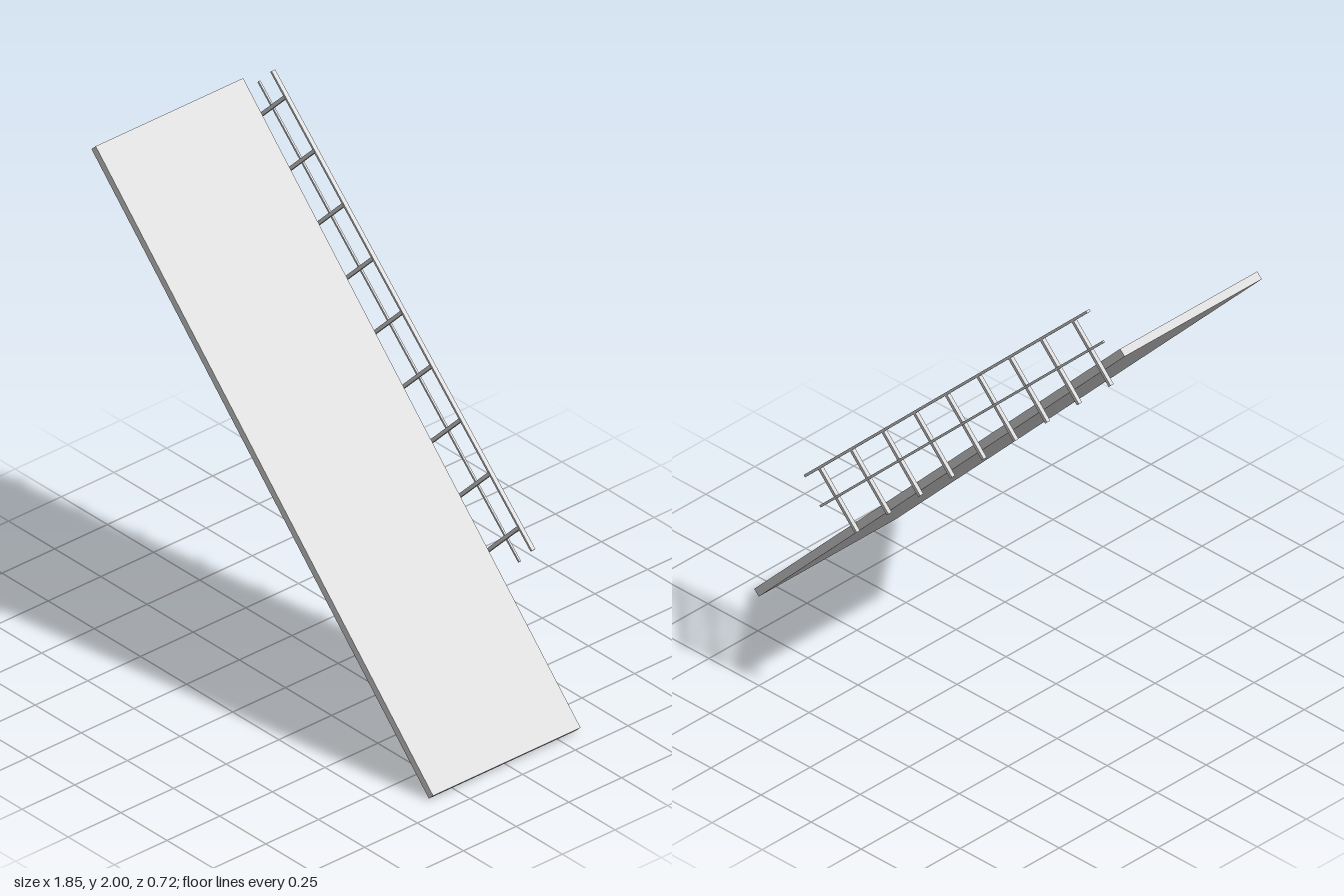
import * as THREE from 'three';

const material = new THREE.MeshStandardMaterial({ color: 0xcccccc, flatShading: true });

// Square bar between two points in the x-y plane, spanning zBack..zFront
function bar(name, [x1, y1], [x2, y2], thickness, zBack, zFront) {
  const length = Math.hypot(x2 - x1, y2 - y1);
  const mesh = new THREE.Mesh(new THREE.BoxGeometry(length, thickness, zFront - zBack), material);
  mesh.position.set((x1 + x2) / 2, (y1 + y2) / 2, (zBack + zFront) / 2);
  mesh.rotation.z = Math.atan2(y2 - y1, x2 - x1);
  mesh.name = name;
  return mesh;
}

export function createModel() {
  const model = new THREE.Group();
  model.name = 'rampWithRailing';

  // Sloping deck
  model.add(bar('deck', [-0.914, 1.888], [0.914, 0.012], 0.032, -0.34, 0.36));

  // Railing along the back edge
  const railing = new THREE.Group();
  railing.name = 'railing';
  railing.add(bar('topRail', [-0.753, 1.996], [0.657, 0.639], 0.01, -0.358, -0.341));
  railing.add(bar('middleRail', [-0.838, 1.909], [0.575, 0.549], 0.009, -0.362, -0.354));

  // Evenly spaced posts, running down past the deck
  for (let i = 0; i < 9; i++) {
    const x = -0.68 + i * 0.1585;
    const y = 1.922 - i * 0.152;
    railing.add(bar('post', [x, y], [x - 0.186, y - 0.193], 0.014, -0.356, -0.34));
  }
  model.add(railing);
  return model;
}
